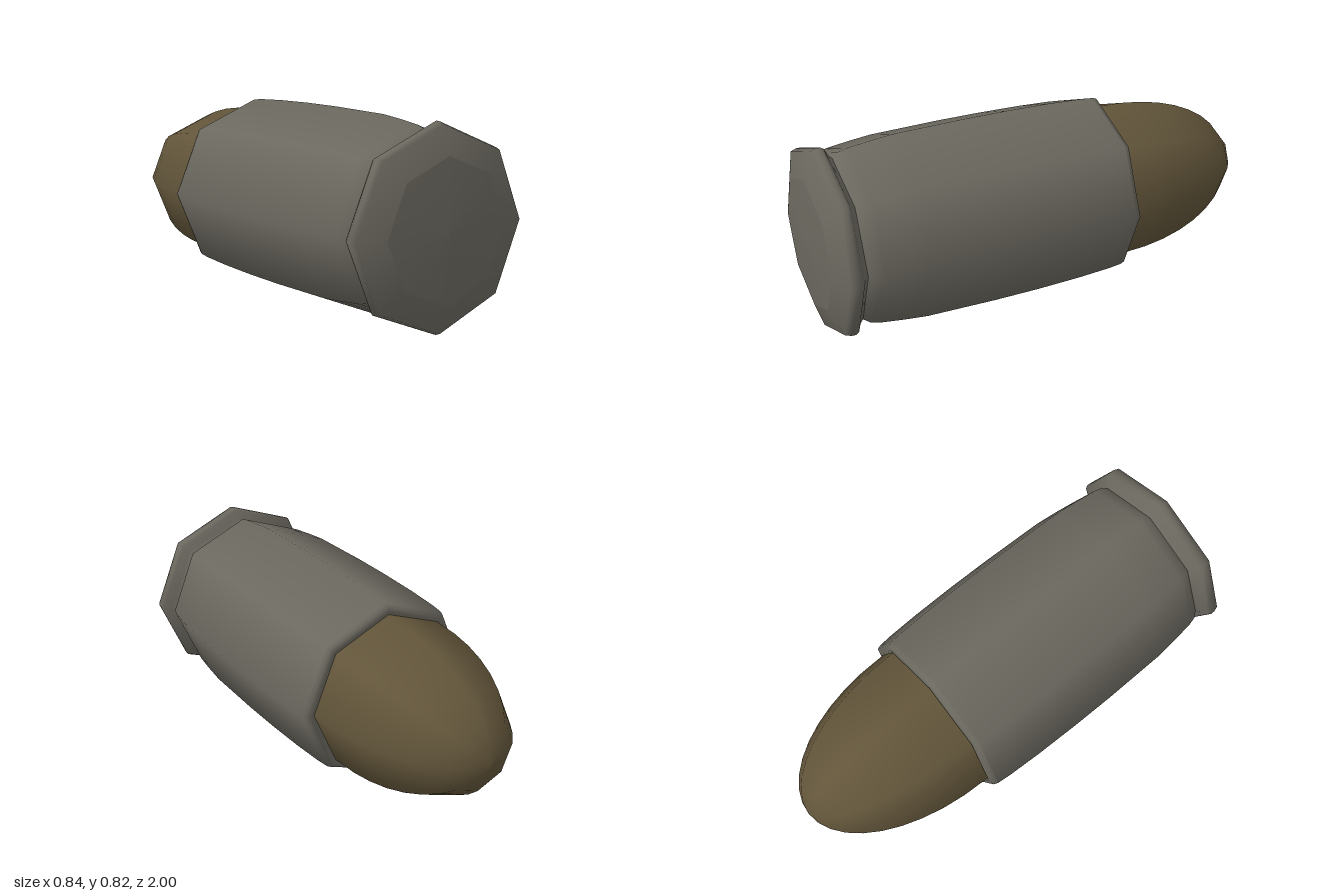
import * as THREE from 'three';

const CENTER_Y = 0.41;

export function createModel() {
  const group = new THREE.Group();
  const steel = new THREE.MeshStandardMaterial({ color: 0x6b685f });
  steel.name = 'grey steel';
  const bronze = new THREE.MeshStandardMaterial({ color: 0x62553a });
  bronze.name = 'dark bronze';

  // Eight-sided turned part lying along z; profile is [radius, z] from back to front
  const turned = (name, profile, material) => {
    const points = profile.map(([r, z]) => new THREE.Vector2(r, z));
    const geometry = new THREE.LatheGeometry(points, 8);
    geometry.rotateX(Math.PI / 2);
    geometry.scale(1, 0.98, 1);
    const mesh = new THREE.Mesh(geometry, material);
    mesh.name = name;
    mesh.position.y = CENTER_Y;
    group.add(mesh);
  };

  // Rounded tip: half an ellipse
  const tip = [];
  for (let i = 0; i <= 10; i++) {
    const a = (i / 10) * Math.PI / 2;
    tip.push([0.357 * Math.sin(a), -0.35 - 0.65 * Math.cos(a)]);
  }
  tip.push([0.36, -0.32]);
  turned('tip', tip, bronze);

  // Bevelled mouth closing the casing around the tip
  turned('mouth', [[0.34, -0.325], [0.372, -0.334], [0.395, -0.328], [0.402, -0.31]], steel);

  // Slightly bulging casing, pinched into a groove in front of the base
  turned('casing', [
    [0.402, -0.31], [0.408, -0.25], [0.415, -0.1], [0.419, 0.1], [0.419, 0.3],
    [0.413, 0.6], [0.403, 0.7], [0.39, 0.8], [0.38, 0.835], [0.36, 0.86],
  ], steel);

  // Flared rim
  turned('rim', [
    [0.36, 0.86], [0.375, 0.875], [0.406, 0.89], [0.415, 0.905], [0.414, 0.925],
    [0.405, 0.948], [0.29, 0.984],
  ], steel);

  // Shallow domed base
  turned('base', [[0.29, 0.984], [0.15, 0.995], [0, 1]], steel);

  return group;
}
